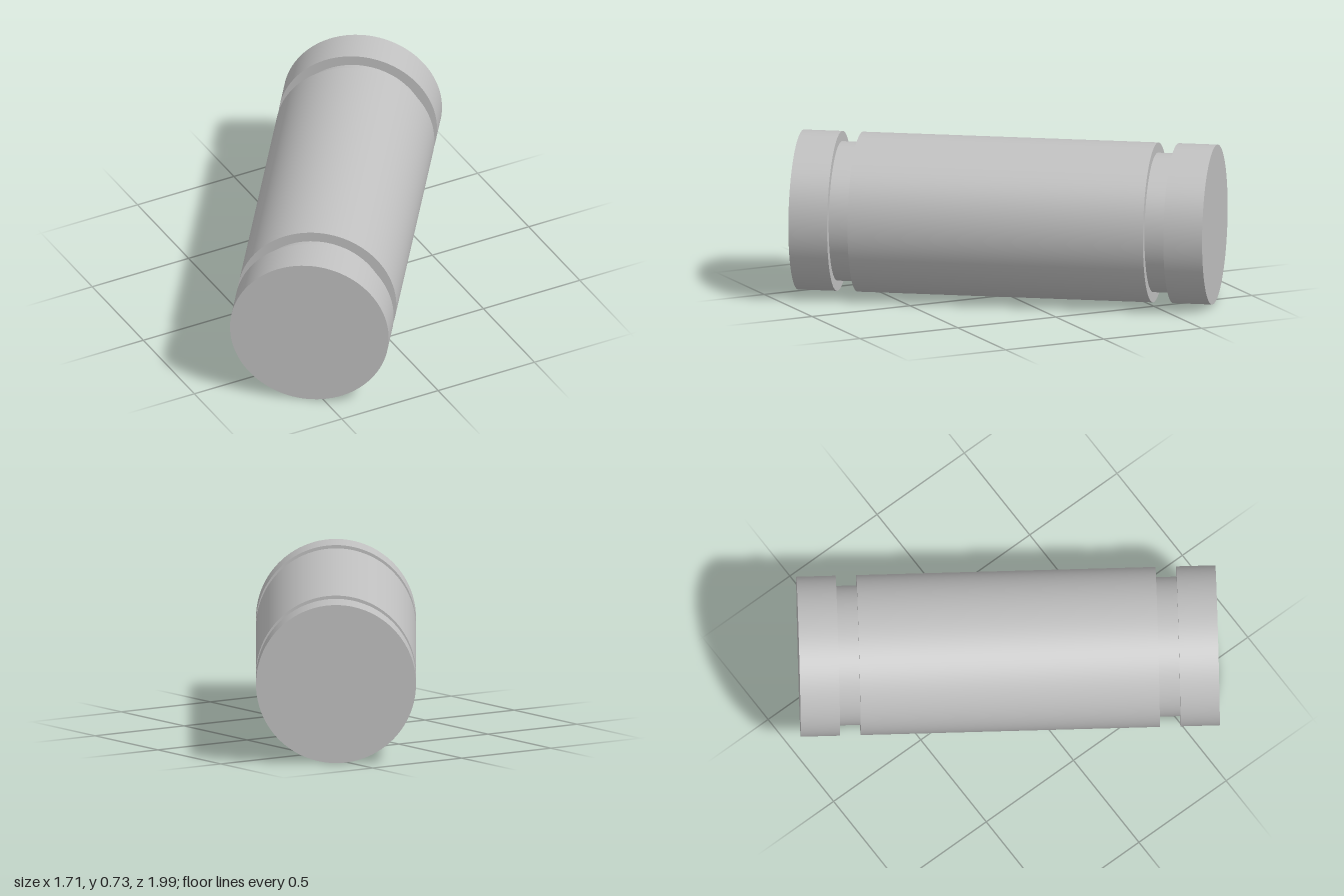
import * as THREE from 'three';

export function createModel() {
  const model = new THREE.Group();
  model.name = 'groovedPin';
  const grey = new THREE.MeshStandardMaterial({ color: 0xc0c0c0 });
  grey.name = 'plain grey';

  const R = 0.367, GROOVE_R = 0.32;
  const END = 0.961, CAP = 0.781, BODY = 0.686; // distances from the middle along the axis

  // A cylinder spanning a..b along the pin's axis
  const pin = new THREE.Group();
  pin.name = 'pin';
  const addCylinder = (name, radius, a, b, open = false) => {
    const mesh = new THREE.Mesh(new THREE.CylinderGeometry(radius, radius, b - a, 96, 1, open), grey);
    mesh.name = name;
    mesh.position.y = (a + b) / 2;
    pin.add(mesh);
  };

  // Main barrel
  addCylinder('barrel', R, -BODY, BODY);

  // Retaining groove and end collar on each end
  addCylinder('frontGroove', GROOVE_R, -CAP, -BODY, true);
  addCylinder('backGroove', GROOVE_R, BODY, CAP, true);
  addCylinder('frontCollar', R, -END, -CAP);
  addCylinder('backCollar', R, CAP, END);

  // Lay the pin down diagonally, resting on the ground
  const axis = new THREE.Vector3(0.555, 0, -0.786).normalize();
  pin.quaternion.setFromUnitVectors(new THREE.Vector3(0, 1, 0), axis);
  pin.position.y = R;
  model.add(pin);
  return model;
}
